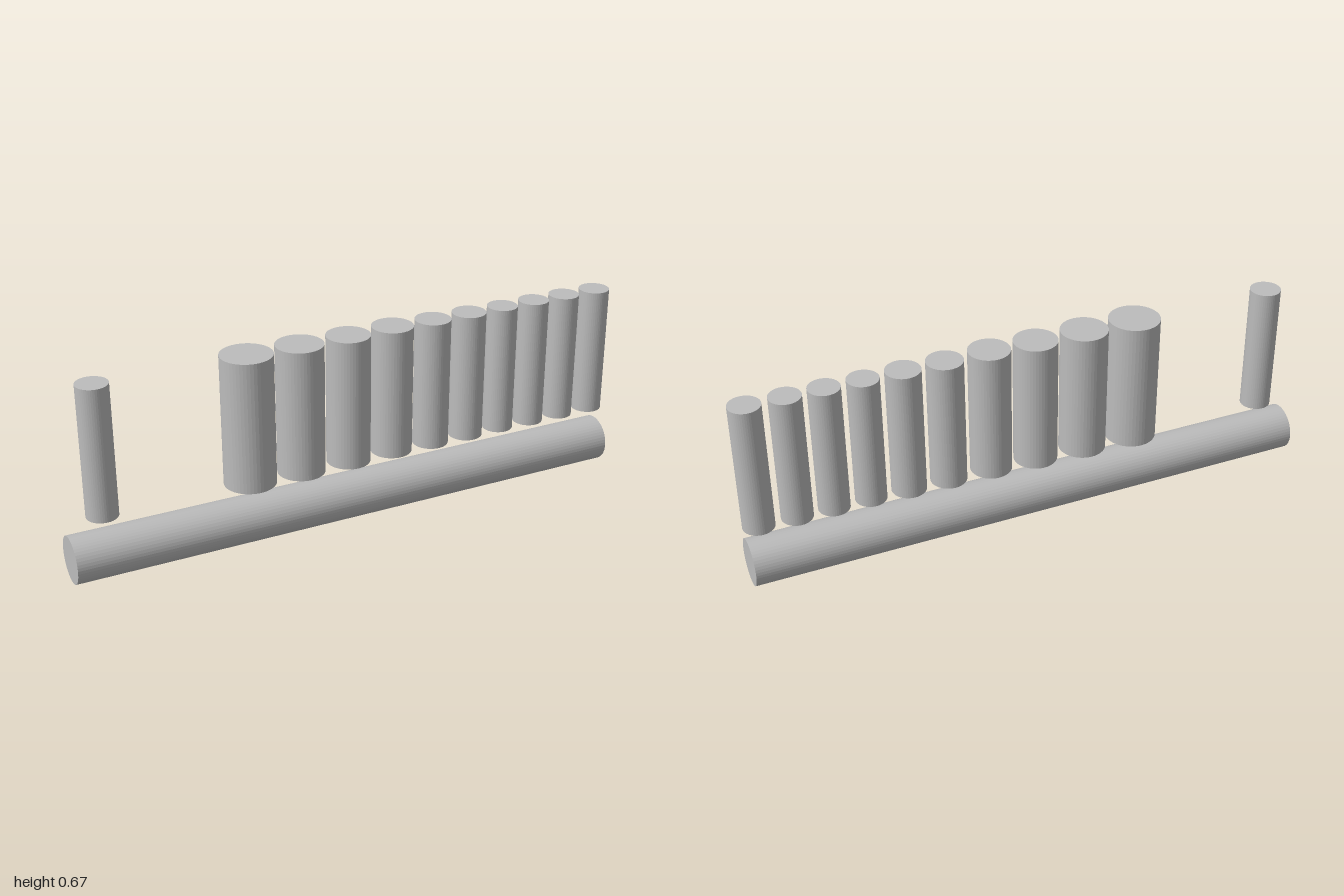
import * as THREE from 'three';

export function createModel() {
  const model = new THREE.Group();
  const grey = new THREE.MeshStandardMaterial({ color: 0xbcbcbc, flatShading: true });
  grey.name = 'plain grey';

  const addCylinder = (name, radius, length, x, y) => {
    const mesh = new THREE.Mesh(new THREE.CylinderGeometry(radius, radius, length, 48), grey);
    mesh.name = name;
    mesh.position.set(x, y, 0);
    model.add(mesh);
    return mesh;
  };

  // Long horizontal bar lying on the ground
  addCylinder('bar', 0.08, 1.99, -0.005, 0.08).rotation.z = Math.PI / 2;

  // Row of upright pins floating above the bar: [x, radius, lift]
  const pins = [
    [-0.885, 0.053], [-0.379, 0.088], [-0.194, 0.081], [-0.019, 0.075],
    [0.144, 0.071, 0.003], [0.297, 0.062], [0.437, 0.059], [0.569, 0.053],
    [0.695, 0.053], [0.819, 0.053], [0.946, 0.053],
  ];
  pins.forEach(([x, radius, lift = 0], i) =>
    addCylinder(`pin${i + 1}`, radius, 0.456, x, 0.442 + lift));

  return model;
}
